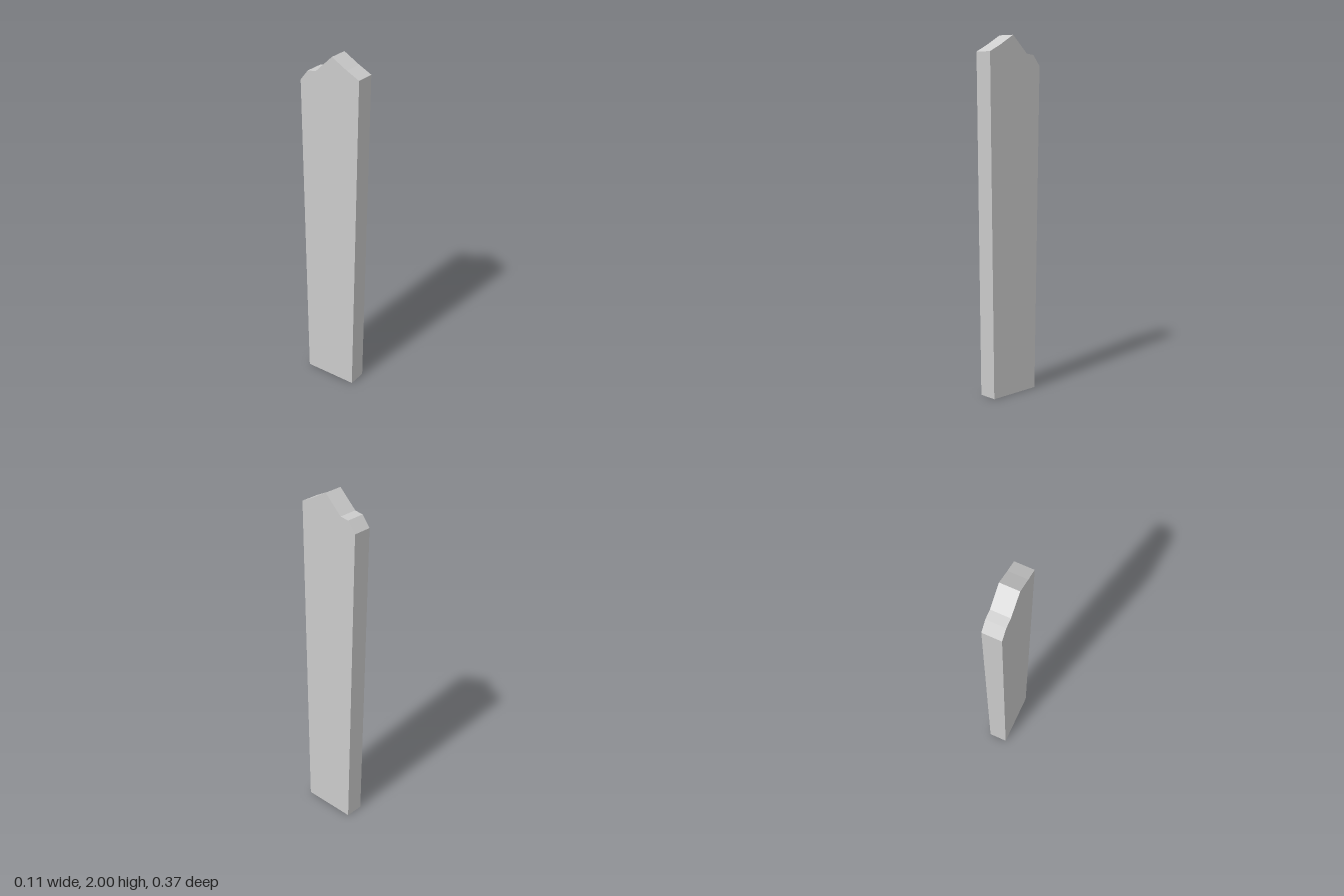
import * as THREE from 'three';

export function createModel() {
  const group = new THREE.Group();
  const width = 0.108;

  // Side outline as (z, y): tapering plank with a jagged broken top
  const outline = [
    [0.16, 0], [0.185, 1.91], [0.11, 1.947], [0.017, 2],
    [-0.086, 1.902], [-0.137, 1.895], [-0.185, 1.835], [-0.155, 0],
  ].map(([z, y]) => new THREE.Vector2(z, y));

  // Extrude across the thickness, then turn so the outline lies in the z-y plane
  const geometry = new THREE.ExtrudeGeometry(new THREE.Shape(outline), {
    depth: width,
    bevelEnabled: false,
  });
  geometry.translate(0, 0, -width / 2);
  geometry.rotateY(-Math.PI / 2);

  const plank = new THREE.Mesh(
    geometry,
    new THREE.MeshStandardMaterial({ color: 0xcccccc, flatShading: true }),
  );
  plank.name = 'plank';
  group.add(plank);
  return group;
}
